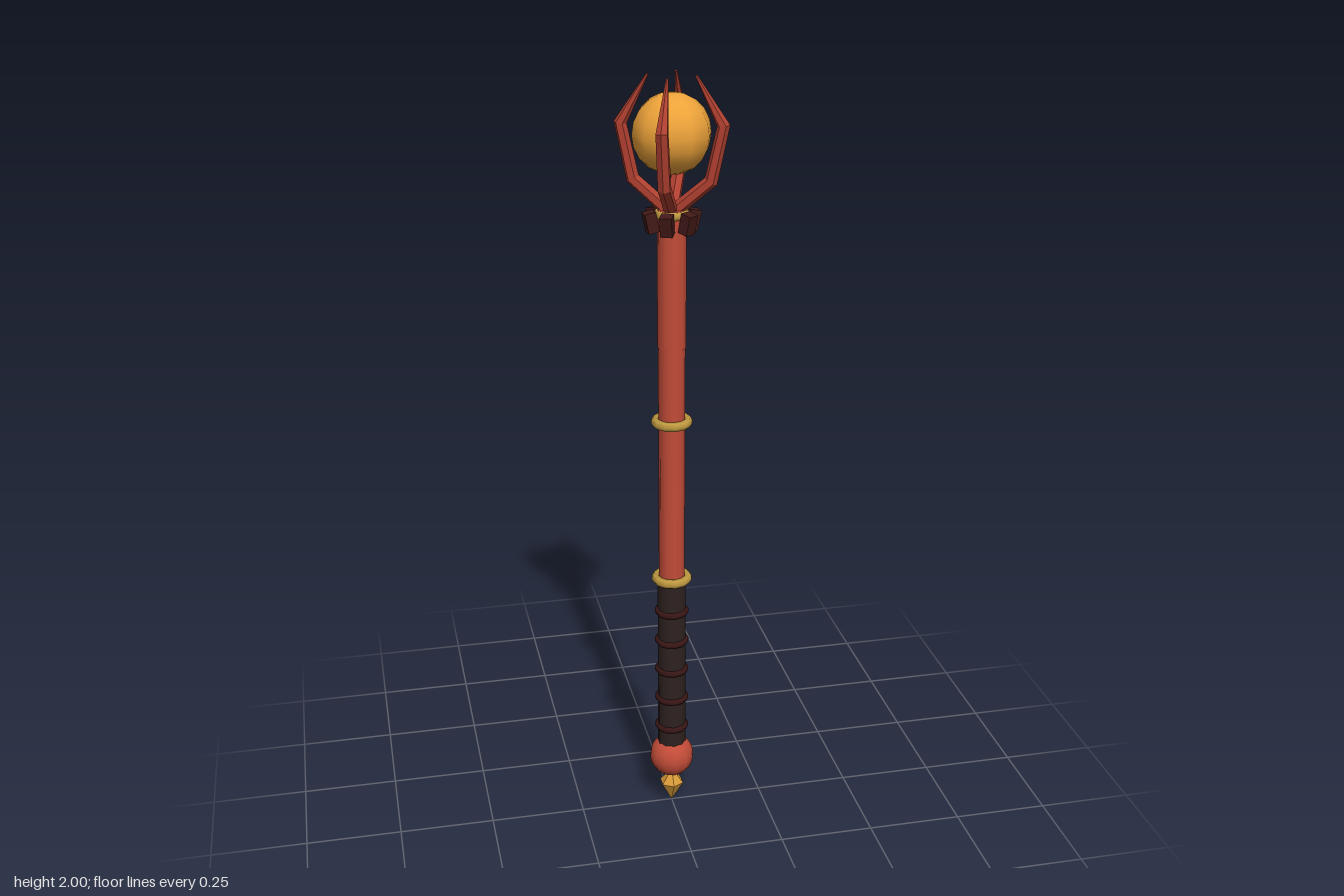
import * as THREE from 'three';

const mat = (color, flatShading = false) => new THREE.MeshStandardMaterial({ color, flatShading });
const red = mat(0xc24c38), redFlat = mat(0xb04030, true), gold = mat(0xc09a40), amber = mat(0xeda33a);
const spikeGold = mat(0xd89a38, true), leather = mat(0x2e2220), wrap = mat(0x3a1616), dark = mat(0x421a18, true);

// Swept claw: hexagonal sections along a path in the x-y plane, [x, y, radius]
function clawGeometry(path, sides = 6) {
  const pos = [], index = [];
  path.forEach(([x, y, r], i) => {
    const a = path[Math.max(i - 1, 0)], b = path[Math.min(i + 1, path.length - 1)];
    const t = new THREE.Vector2(b[0] - a[0], b[1] - a[1]).normalize();
    for (let j = 0; j < sides; j++) {
      const q = (j / sides) * Math.PI * 2, c = Math.cos(q) * r;
      pos.push(x + t.y * c, y - t.x * c, Math.sin(q) * r);
    }
  });
  for (let i = 0; i < path.length - 1; i++) {
    for (let j = 0; j < sides; j++) {
      const k = (j + 1) % sides, a = i * sides + j, b = i * sides + k;
      index.push(a, a + sides, b, b, a + sides, b + sides);
    }
  }
  const last = (path.length - 1) * sides;
  for (let j = 1; j < sides - 1; j++) {
    index.push(0, j, j + 1, last, last + j + 1, last + j);
  }
  const g = new THREE.BufferGeometry();
  g.setAttribute('position', new THREE.Float32BufferAttribute(pos, 3));
  g.setIndex(index);
  g.computeVertexNormals();
  return g;
}

export function createModel() {
  const root = new THREE.Group();
  const add = (name, geometry, material, y = 0, parent = root) => {
    const m = new THREE.Mesh(geometry, material);
    m.name = name;
    m.position.y = y;
    parent.add(m);
    return m;
  };
  const rod = (name, r0, r1, y0, y1, material) =>
    add(name, new THREE.CylinderGeometry(r1, r0, y1 - y0, 10), material, (y0 + y1) / 2);
  const ring = (name, y, outer, tube, material) =>
    add(name, new THREE.TorusGeometry(outer - tube, tube, 6, 12).rotateX(Math.PI / 2), material, y);

  // Bottom spike and pommel
  add('bottomSpikeTip', new THREE.ConeGeometry(0.033, 0.06, 6).rotateX(Math.PI), spikeGold, 0.03);
  add('bottomSpikeTop', new THREE.ConeGeometry(0.033, 0.04, 6), spikeGold, 0.08);
  add('pommel', new THREE.SphereGeometry(0.06, 12, 10), red, 0.148);

  // Handle with wraps
  rod('grip', 0.038, 0.037, 0.18, 0.69, leather);
  for (let i = 0; i < 5; i++) ring('gripWrap', 0.245 + i * 0.0875, 0.046, 0.009, wrap);

  // Shaft and rings
  rod('lowerShaft', 0.034, 0.034, 0.68, 1.34, red);
  rod('upperShaft', 0.036, 0.036, 1.33, 1.68, red);
  ring('lowerRing', 0.692, 0.054, 0.012, gold);
  ring('middleRing', 1.133, 0.054, 0.012, gold);
  ring('topRing', 1.67, 0.045, 0.011, gold);

  // Collar of tilted blocks
  const collar = new THREE.Group();
  collar.name = 'collar';
  root.add(collar);
  for (let i = 0; i < 6; i++) {
    const arm = new THREE.Group();
    arm.rotation.y = (i / 6) * Math.PI * 2 + 0.1;
    collar.add(arm);
    const block = add('collarBlock', new THREE.BoxGeometry(0.028, 0.05, 0.03), dark, 1.653, arm);
    block.position.x = 0.053;
    block.rotation.z = -0.22;
  }

  // Claws curving round the orb
  const claw = clawGeometry([
    [0.005, 1.675, 0.017], [0.095, 1.752, 0.017], [0.124, 1.885, 0.016], [0.058, 2, 0.003],
  ]);
  for (let i = 0; i < 4; i++) {
    add('claw', claw, redFlat).rotation.y = -0.39 + (i * Math.PI) / 2;
  }

  add('orb', new THREE.SphereGeometry(0.097, 10, 10), amber, 1.863);
  return root;
}
